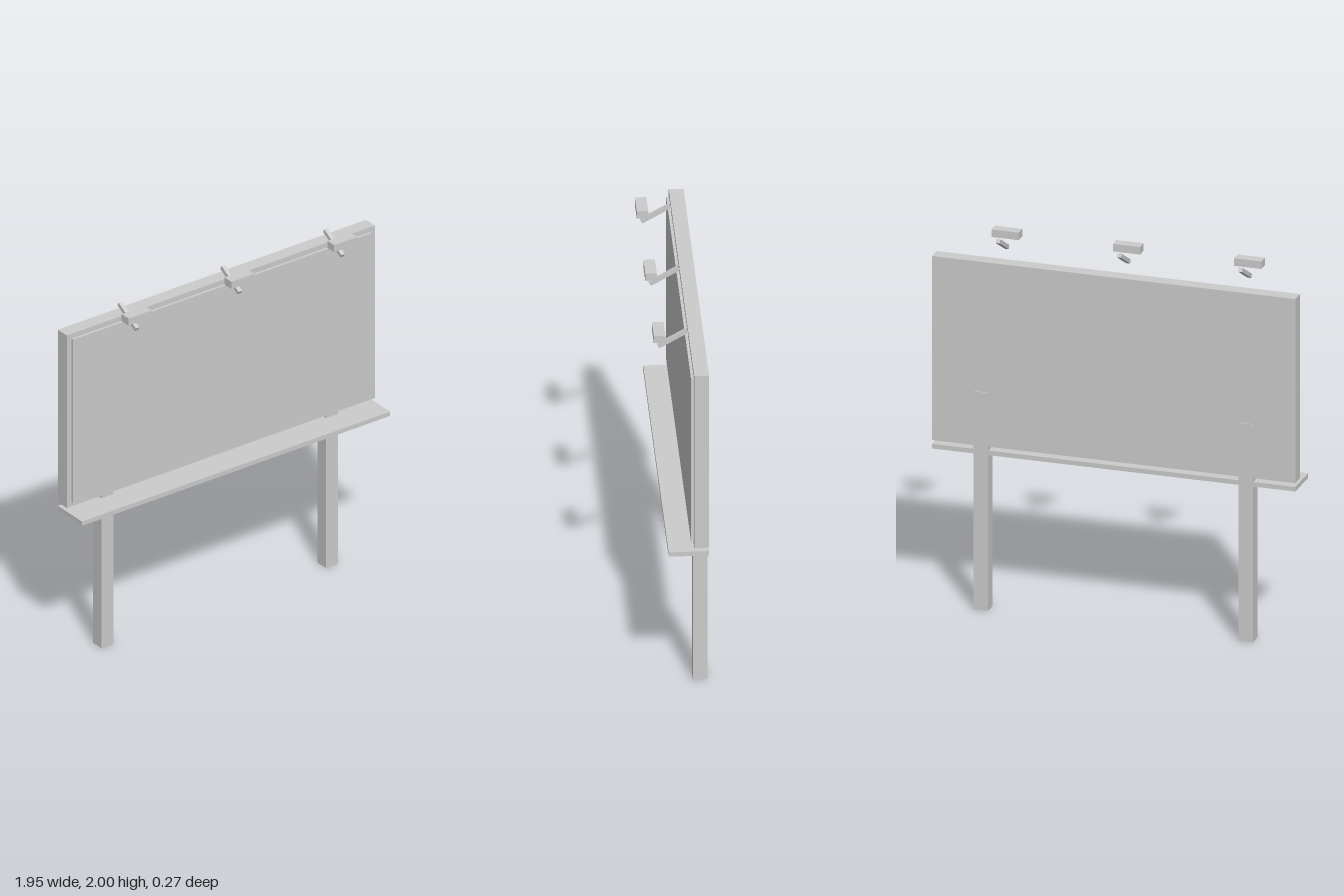
import * as THREE from 'three';

const material = new THREE.MeshStandardMaterial({ color: 0xcccccc, flatShading: true });

// Box given by its extents along each axis
function box(name, [x0, x1], [y0, y1], [z0, z1]) {
  const mesh = new THREE.Mesh(new THREE.BoxGeometry(x1 - x0, y1 - y0, z1 - z0), material);
  mesh.position.set((x0 + x1) / 2, (y0 + y1) / 2, (z0 + z1) / 2);
  mesh.name = name;
  return mesh;
}

// Lamp head with its slanted arm
function createLamp(x) {
  const lamp = new THREE.Group();
  lamp.name = 'lamp';
  lamp.add(box('lampHead', [-0.073, 0.073], [1.959, 2], [0.077, 0.136]));
  const arm = new THREE.Mesh(new THREE.BoxGeometry(0.022, 0.022, 0.17), material);
  arm.name = 'lampArm';
  arm.position.set(0, 1.945, 0.035);
  arm.rotation.x = Math.PI / 6;
  lamp.add(arm);
  lamp.position.x = x;
  return lamp;
}

export function createModel() {
  const model = new THREE.Group();
  model.name = 'billboard';

  // Board with a raised display panel
  model.add(box('board', [-0.977, 0.977], [0.895, 1.9], [-0.13, -0.054]));
  model.add(box('displayPanel', [-0.947, 0.947], [0.92, 1.872], [-0.054, -0.039]));

  // Walkway below the board
  model.add(box('walkway', [-0.977, 0.977], [0.849, 0.874], [-0.13, 0.077]));

  // Posts, slightly proud of the back of the board
  for (const x of [-0.712, 0.712]) {
    model.add(box('post', [x - 0.038, x + 0.038], [0, 1.19], [-0.136, -0.062]));
  }

  // Lamps along the top
  for (const x of [-0.652, 0, 0.652]) model.add(createLamp(x));

  return model;
}
